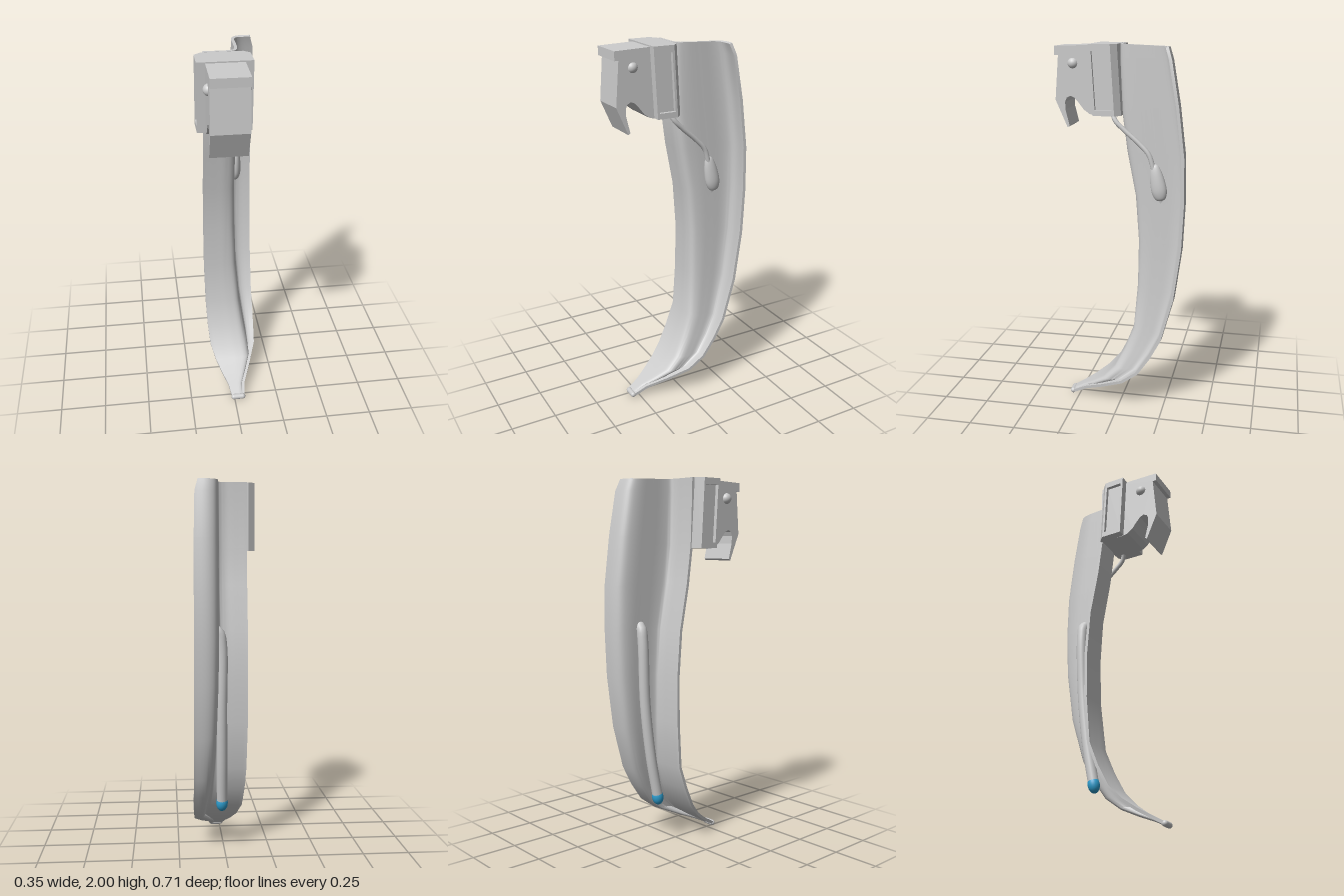
import * as THREE from 'three';
import { toCreasedNormals } from 'three/addons/utils/BufferGeometryUtils.js';

const V = (x, y, z) => new THREE.Vector3(x, y, z);
const grey = new THREE.MeshStandardMaterial({ color: 0xcccccc });
const blue = new THREE.MeshStandardMaterial({ color: 0x2f9fd0 });

function part(group, name, geometry, material = grey) {
  const mesh = new THREE.Mesh(geometry, material);
  mesh.name = name;
  group.add(mesh);
  return mesh;
}

// Blade stations: front edge y, z; back edge y, z; x of left edge, web, flange edge
const STATIONS = [
  [2.0, 0.01, 1.99, -0.25, -0.13, 0.045, 0.145],
  [1.93, 0.01, 1.93, -0.27, -0.13, 0.045, 0.162],
  [1.65, 0.0, 1.7, -0.31, -0.13, 0.045, 0.168],
  [1.44, -0.028, 1.44, -0.342, -0.13, 0.045, 0.17],
  [1.2, -0.075, 1.2, -0.346, -0.13, 0.045, 0.17],
  [0.95, -0.094, 0.95, -0.335, -0.13, 0.048, 0.17],
  [0.7, -0.092, 0.67, -0.298, -0.13, 0.056, 0.17],
  [0.45, -0.074, 0.43, -0.233, -0.125, 0.075, 0.17],
  [0.32, -0.025, 0.32, -0.175, -0.12, 0.09, 0.17],
  [0.21, 0.03, 0.22, -0.107, -0.11, 0.105, 0.168],
  [0.14, 0.095, 0.155, -0.02, -0.085, 0.11, 0.16],
  [0.09, 0.165, 0.1, 0.1, -0.055, 0.075, 0.115],
  [0.055, 0.225, 0.055, 0.21, -0.028, 0.045, 0.07],
  [0.018, 0.29, 0.016, 0.287, -0.015, 0.04, 0.057],
];

// Z-shaped cross-section: tongue plate, web, rear flange
function section([fy, fz, by, bz, xl, xw, xr]) {
  const p = xw - xl, q = xr - xw;
  const at = (x, f) => V(x, fy + (by - fy) * f, fz + (bz - fz) * f);
  return new THREE.CatmullRomCurve3([
    at(xl, 0), at(xl + p * 0.4, 0), at(xw - p * 0.28, 0.005), at(xw - p * 0.09, 0.05),
    at(xw - p * 0.02, 0.2), at(xw, 0.5), at(xw + q * 0.03, 0.8),
    at(xw + q * 0.15, 0.94), at(xw + q * 0.4, 1), at(xr, 1),
  ]).getPoints(36);
}

// Thickened shell made from the stacked cross-sections
function bladeGeometry(half) {
  const grid = STATIONS.map(section);
  const rows = grid.length, cols = grid[0].length, count = rows * cols;
  const pos = [[], []];
  for (let i = 0; i < rows; i++) for (let j = 0; j < cols; j++) {
    const du = grid[i][Math.min(j + 1, cols - 1)].clone().sub(grid[i][Math.max(j - 1, 0)]);
    const dv = grid[Math.min(i + 1, rows - 1)][j].clone().sub(grid[Math.max(i - 1, 0)][j]);
    const n = dv.cross(du).normalize();
    pos[0].push(...grid[i][j].clone().addScaledVector(n, half).toArray());
    pos[1].push(...grid[i][j].clone().addScaledVector(n, -half).toArray());
  }
  const index = [];
  for (let i = 0; i < rows - 1; i++) for (let j = 0; j < cols - 1; j++) {
    const a = i * cols + j, b = a + 1, c = a + cols, d = c + 1;
    index.push(a, c, b, b, c, d);
    index.push(count + a, count + b, count + c, count + b, count + d, count + c);
  }
  // Rim
  const rim = [];
  for (let j = 0; j < cols - 1; j++) rim.push(j);
  for (let i = 0; i < rows - 1; i++) rim.push(i * cols + cols - 1);
  for (let j = cols - 1; j > 0; j--) rim.push((rows - 1) * cols + j);
  for (let i = rows - 1; i > 0; i--) rim.push(i * cols);
  rim.forEach((p, k) => {
    const q = rim[(k + 1) % rim.length];
    index.push(p, q, count + q, p, count + q, count + p);
  });
  const g = new THREE.BufferGeometry();
  g.setAttribute('position', new THREE.Float32BufferAttribute([...pos[0], ...pos[1]], 3));
  g.setIndex(index);
  return toCreasedNormals(g, 0.75);
}

const shapeOf = (pts) => new THREE.Shape(pts.map(([a, b]) => new THREE.Vector2(a, b)));
const extrude = (shape, depth) => new THREE.ExtrudeGeometry(shape, { depth, bevelEnabled: false });

// Outline in (z, y), extruded from x0 to x1
const alongX = (shape, x0, x1) => extrude(shape, x1 - x0).rotateY(-Math.PI / 2).translate(x1, 0, 0);

// Lean the block backwards towards its foot
function lean(g) {
  const p = g.attributes.position;
  for (let i = 0; i < p.count; i++) p.setZ(i, p.getZ(i) + (p.getY(i) - 2) * 0.06);
  g.computeVertexNormals();
  return g;
}

export function createModel() {
  const model = new THREE.Group();
  model.name = 'curvedBlade';

  // Blade and its beaded tip
  part(model, 'blade', bladeGeometry(0.008));
  const bead = part(model, 'bladeTip', new THREE.CapsuleGeometry(0.016, 0.05, 6, 16).rotateZ(Math.PI / 2));
  bead.position.set(0.021, 0.018, 0.29);

  // Mounting block with chamfered back and a slot in each side
  const block = new THREE.Group();
  block.name = 'mountingBlock';
  model.add(block);
  const plan = shapeOf([
    [-0.155, 0.165], [-0.155, 0.05], [-0.175, 0.05], [-0.14, 0.02],
    [0.07, 0.02], [0.102, 0.05], [0.082, 0.05], [0.082, 0.165],
  ]);
  part(block, 'blockCore', lean(extrude(plan, 0.365).rotateX(Math.PI / 2).translate(0, 2, 0)));
  for (const [x0, x1] of [[-0.175, -0.155], [0.082, 0.102]]) {
    const frame = shapeOf([[0.05, 1.635], [0.165, 1.635], [0.165, 2], [0.05, 2]]);
    frame.holes.push(new THREE.Path([[0.062, 1.665], [0.062, 1.965], [0.152, 1.965], [0.152, 1.665]]
      .map(([a, b]) => new THREE.Vector2(a, b))));
    part(block, 'slotFrame', lean(alongX(frame, x0, x1)));
  }

  // Front body ending in a hook
  part(block, 'hookBody', alongX(shapeOf([
    [0.1, 1.995], [0.1, 1.635], [0.14, 1.632], [0.17, 1.64], [0.2, 1.662], [0.23, 1.7], [0.25, 1.722],
    [0.272, 1.732], [0.292, 1.722], [0.301, 1.7], [0.3, 1.66], [0.279, 1.575], [0.29, 1.566],
    [0.353, 1.71], [0.335, 1.94], [0.356, 1.94], [0.356, 1.987],
  ]), -0.132, 0.061));

  // Locking balls on both sides
  for (const x of [-0.125, 0.047]) {
    part(block, 'lockingBall', new THREE.SphereGeometry(0.03, 24, 16)).position.set(x, 1.9, 0.258);
  }

  // Lamp lead from the block to the web
  const lamp = new THREE.Group();
  lamp.name = 'lamp';
  model.add(lamp);
  const lead = new THREE.CatmullRomCurve3([
    V(0.05, 1.66, 0.05), V(0.066, 1.61, 0.03), V(0.068, 1.56, -0.02), V(0.068, 1.49, -0.1),
    V(0.07, 1.435, -0.15), V(0.07, 1.35, -0.178),
  ]);
  part(lamp, 'lampLead', new THREE.TubeGeometry(lead, 40, 0.013, 12));
  const plug = part(lamp, 'lampPlug', new THREE.LatheGeometry(new THREE.SplineCurve([
    [0.001, -0.1], [0.026, -0.09], [0.04, -0.055], [0.041, -0.01], [0.033, 0.05], [0.02, 0.09], [0.001, 0.103],
  ].map(([a, b]) => new THREE.Vector2(a, b))).getPoints(24), 24));
  plug.position.set(0.066, 1.287, -0.198);
  plug.scale.x = 0.7;
  plug.rotation.x = 0.2;

  // Lamp tube behind the web with its coloured bulb
  const tube = new THREE.CatmullRomCurve3([
    V(0.065, 1.23, -0.212), V(0.035, 1.21, -0.213), V(0.021, 1.14, -0.213), V(0.02, 0.8, -0.2),
    V(0.016, 0.5, -0.165), V(0.013, 0.28, -0.123),
  ]);
  part(lamp, 'lampTube', new THREE.TubeGeometry(tube, 48, 0.029, 16));
  const bulb = part(lamp, 'lampBulb', new THREE.SphereGeometry(0.032, 24, 16), blue);
  bulb.position.set(0.013, 0.265, -0.12);
  bulb.scale.y = 1.45;
  bulb.rotation.x = -0.18;

  return model;
}
